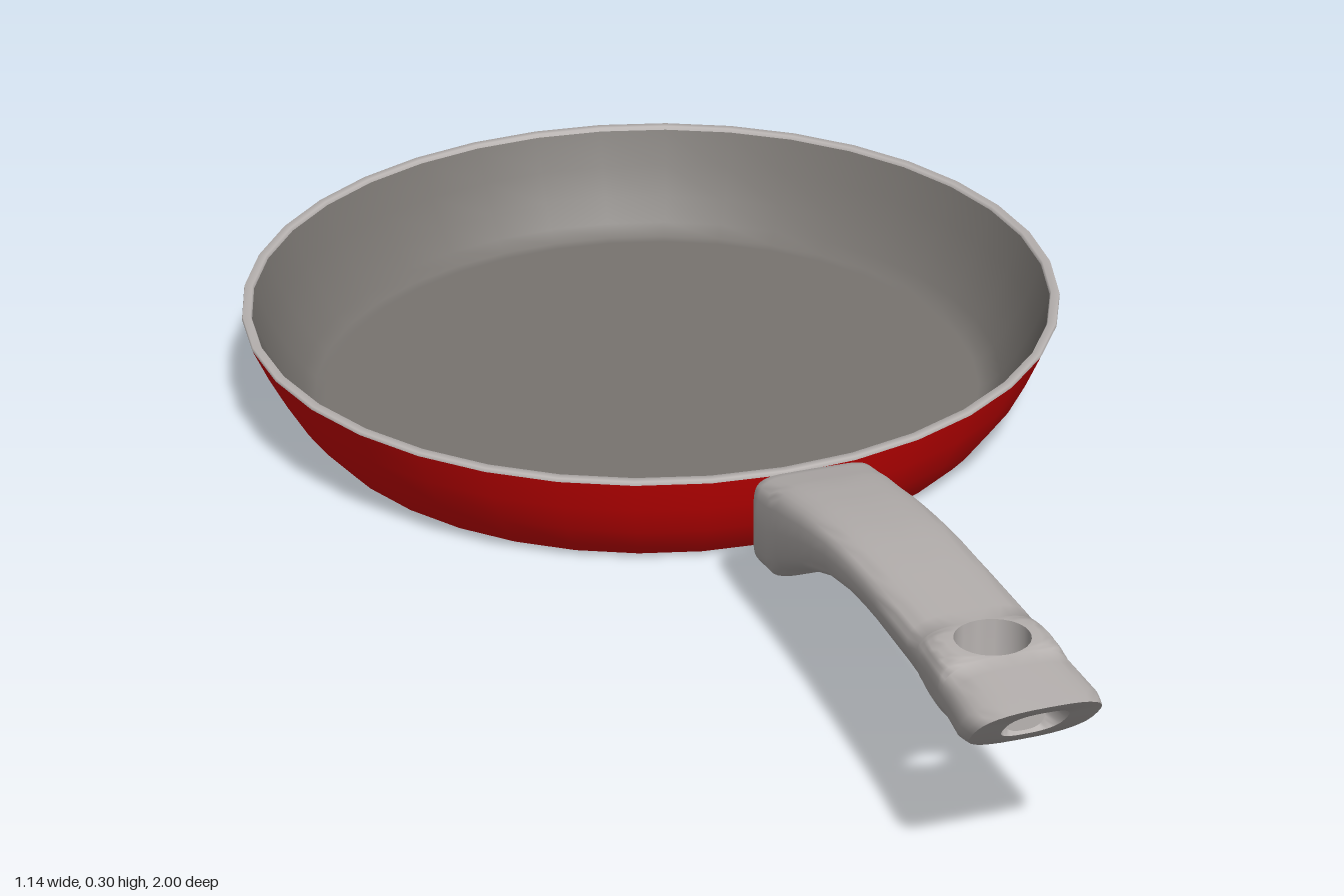
import * as THREE from 'three';
import { toCreasedNormals } from 'three/addons/utils/BufferGeometryUtils.js';

const enamelRed = new THREE.MeshStandardMaterial({ color: 0xdd0000 });
const coatingGrey = new THREE.MeshStandardMaterial({ color: 0x787470 });
const lightGrey = new THREE.MeshStandardMaterial({ color: 0xb9b4b2 });

// Piecewise linear lookup in [position, value] pairs
function lookup(table, z) {
  for (let i = 1; i < table.length; i++) {
    const [z0, v0] = table[i - 1], [z1, v1] = table[i];
    if (z <= z1) return v0 + (v1 - v0) * Math.max(0, (z - z0) / (z1 - z0));
  }
  return table[table.length - 1][1];
}

// Handle outline: top edge, bottom edge, half width and squareness along z
const TOP = [[0.21, 0.2], [0.3, 0.228], [0.4, 0.25], [0.5, 0.266], [0.6, 0.276], [0.8, 0.29], [1, 0.298]];
const BOTTOM = [[0.21, 0.075], [0.265, 0.078], [0.3, 0.104], [0.38, 0.147], [0.47, 0.185], [0.55, 0.203], [0.64, 0.211], [0.75, 0.214], [1, 0.206]];
const WIDTH = [[0.21, 0.082], [0.3, 0.08], [0.45, 0.077], [0.6, 0.075], [0.8, 0.076], [0.9, 0.079], [0.97, 0.082], [1, 0.076]];
const POWER = [[0.21, 6], [0.32, 4.2], [0.6, 3.2], [0.9, 3], [1, 2.7]];
const HOLE_Z = 0.825, HOLE_R = 0.045, STEPS = 16;

// Half of a cross-section, from the top middle around the side to the bottom middle
function halfSection(z, scaleX = 1, scaleY = scaleX, flatZ = null) {
  const top = lookup(TOP, z), bottom = lookup(BOTTOM, z), w = lookup(WIDTH, z);
  const mid = (top + bottom) / 2, hh = (top - bottom) / 2, e = 2 / lookup(POWER, z);
  const h = Math.sqrt(Math.max(0, HOLE_R ** 2 - (z - HOLE_Z) ** 2));
  const hole = h > 0.002 ? h : 0;
  const slant = 0.085 * Math.max(0, (z - 0.875) / 0.125); // undercut tip
  const points = [];
  for (let j = 0; j <= STEPS; j++) {
    const a = Math.PI * (0.5 - j / STEPS), s = Math.sin(a);
    const c = j === 0 || j === STEPS ? 0 : Math.cos(a) ** e;
    const v = Math.sign(s) * Math.abs(s) ** e * scaleY;
    points.push([hole + (w - hole) * c * scaleX, mid + hh * v, flatZ ?? z - slant * (1 - v) / 2]);
  }
  return { points, hole };
}

function handleGeometry() {
  const zs = [0.22, 0.235, 0.265, 0.28, 0.3, 0.34, 0.38, 0.42, 0.47, 0.51, 0.55, 0.6, 0.64, 0.7, 0.75];
  for (let i = 0; i <= 14; i++) zs.push(HOLE_Z - HOLE_R * Math.cos(Math.PI * i / 14));
  zs.push(0.9, 0.935, 0.965, 0.985, 1);
  const sections = [
    halfSection(0.21, 0), halfSection(0.21, 0.93), // inner end with eased edge
    ...zs.map((z) => halfSection(z)),
    halfSection(1, 0.5, 0.64), halfSection(1, 0.36, 0.6, 0.925), halfSection(1, 0, 0, 0.925), // tip with pocket
  ];
  const pos = [];
  for (const side of [1, -1]) {
    const tri = (...pts) => {
      if (side < 0) pts.reverse();
      for (const p of pts) pos.push(p[0] * side, p[1], p[2]);
    };
    for (let i = 0; i < sections.length - 1; i++) {
      const s = sections[i], n = sections[i + 1];
      // the closing strip, bottom to top, is the wall of the hanging hole
      const strips = s.hole || n.hole ? STEPS + 1 : STEPS;
      for (let j = 0; j < strips; j++) {
        const k = (j + 1) % (STEPS + 1);
        tri(s.points[j], n.points[j], s.points[k]);
        tri(s.points[k], n.points[j], n.points[k]);
      }
    }
  }
  const geo = new THREE.BufferGeometry();
  geo.setAttribute('position', new THREE.Float32BufferAttribute(pos, 3));
  return toCreasedNormals(geo, 0.95);
}

export function createModel() {
  const model = new THREE.Group();
  const pan = new THREE.Group();
  pan.name = 'pan';
  pan.position.z = -0.432;
  model.add(pan);

  const turned = (name, profile, material) => {
    const points = profile.map(([r, y]) => new THREE.Vector2(r, y));
    const mesh = new THREE.Mesh(new THREE.LatheGeometry(points, 36), material);
    mesh.name = name;
    pan.add(mesh);
  };
  // Pan shell: base, painted wall, rim and coated inside
  turned('base', [[0, 0], [0.472, 0]], lightGrey);
  turned('outerWall', [[0.472, 0], [0.482, 0.005], [0.5, 0.025], [0.525, 0.06], [0.548, 0.105], [0.569, 0.153]], enamelRed);
  turned('rim', [[0.569, 0.153], [0.568, 0.158], [0.557, 0.158], [0.555, 0.153]], lightGrey);
  turned('inside', [[0.555, 0.153], [0.536, 0.105], [0.513, 0.062], [0.49, 0.03], [0.474, 0.014], [0.46, 0.012], [0, 0.012]], coatingGrey);

  const handle = new THREE.Mesh(handleGeometry(), lightGrey);
  handle.name = 'handle';
  handle.position.x = 0.008;
  model.add(handle);
  return model;
}
